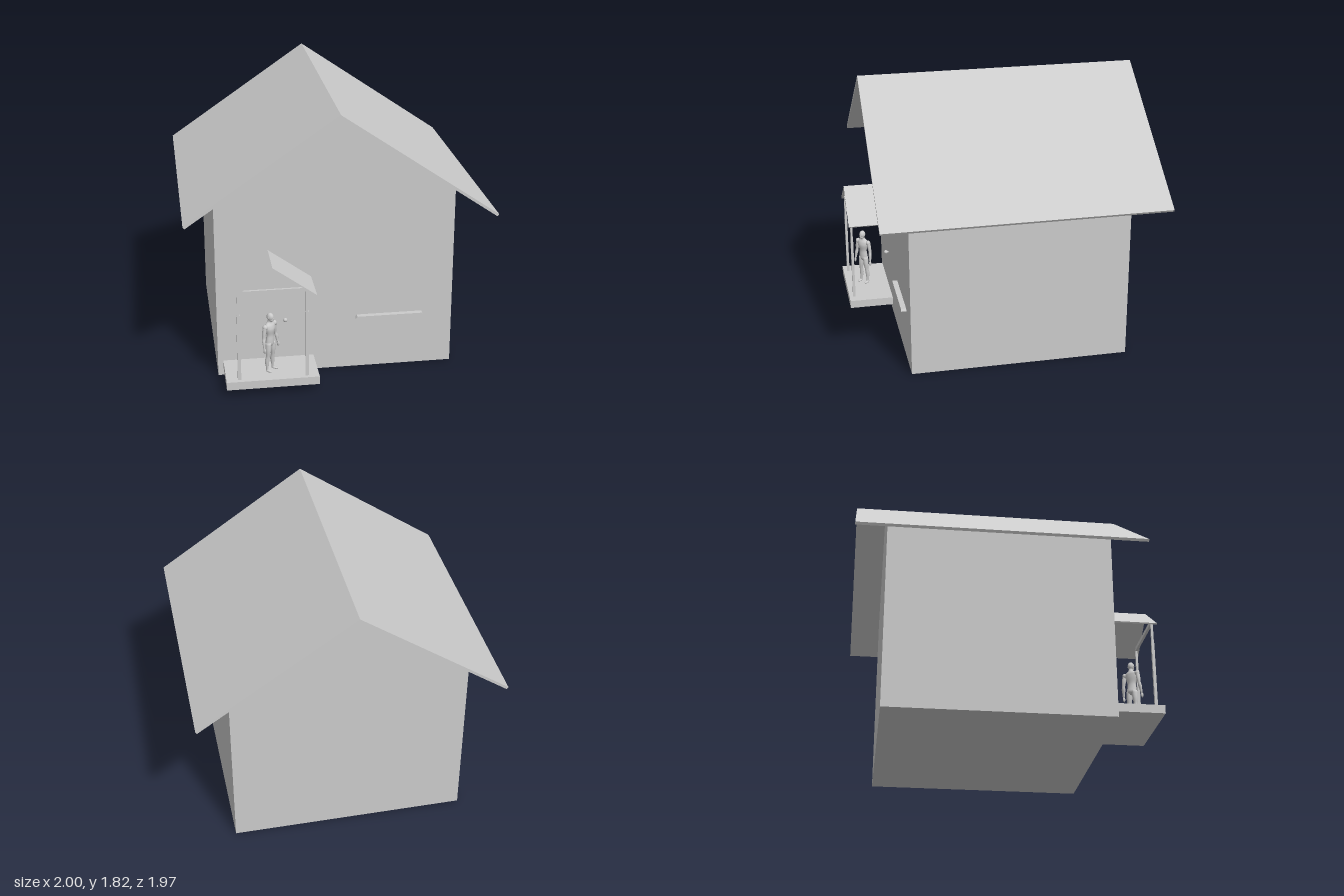
import * as THREE from 'three';

const grey = new THREE.MeshStandardMaterial({ color: 0xcccccc });

function add(parent, name, geometry, x = 0, y = 0, z = 0) {
  const mesh = new THREE.Mesh(geometry, grey);
  mesh.name = name;
  mesh.position.set(x, y, z);
  parent.add(mesh);
  return mesh;
}

// Outline in x/y, extruded from z0 to z1
function prism(points, z0, z1) {
  const shape = new THREE.Shape(points.map(([x, y]) => new THREE.Vector2(x, y)));
  return new THREE.ExtrudeGeometry(shape, { depth: z1 - z0, bevelEnabled: false }).translate(0, 0, z0);
}

// Thin gabled roof: ridge, left eave and right eave on the upper surface
function roof(ridge, left, right, t, z0, z1) {
  const inset = t * 0.55;
  return prism([
    left, [left[0] + inset, left[1] - t * 0.83], [ridge[0], ridge[1] - t * 1.2],
    [right[0] - inset, right[1] - t * 0.83], right, ridge,
  ], z0, z1);
}

// Smooth limb lofted through elliptical rings [x, y, z, rx, rz], listed bottom to top
function loft(rings, sides = 14, steps = 16) {
  const centre = new THREE.CatmullRomCurve3(rings.map(r => new THREE.Vector3(r[0], r[1], r[2])));
  const radii = new THREE.CatmullRomCurve3(rings.map(r => new THREE.Vector3(r[3], r[4], 0)));
  const pos = [], index = [];
  for (let i = 0; i <= steps; i++) {
    const c = centre.getPoint(i / steps), r = radii.getPoint(i / steps);
    for (let j = 0; j < sides; j++) {
      const a = j / sides * Math.PI * 2;
      pos.push(c.x + Math.cos(a) * r.x, c.y, c.z + Math.sin(a) * r.y);
      if (i < steps) {
        const p = i * sides + j, q = i * sides + (j + 1) % sides;
        index.push(p, p + sides, q, q, p + sides, q + sides);
      }
    }
  }
  // End caps
  for (const [row, c] of [[0, rings[0]], [steps, rings[rings.length - 1]]]) {
    const k = pos.length / 3;
    pos.push(c[0], c[1], c[2]);
    for (let j = 0; j < sides; j++) {
      const p = row * sides + j, q = row * sides + (j + 1) % sides;
      if (row) index.push(k, q, p); else index.push(k, p, q);
    }
  }
  const g = new THREE.BufferGeometry();
  g.setAttribute('position', new THREE.Float32BufferAttribute(pos, 3));
  g.setIndex(index);
  g.computeVertexNormals();
  return g;
}

const ellipsoid = (rx, ry, rz) => new THREE.SphereGeometry(1, 16, 12).scale(rx, ry, rz);

function createFigure() {
  const figure = new THREE.Group();
  figure.name = 'figure';
  add(figure, 'torso', loft([
    [0, 0.178, 0, 0.012, 0.014], [0, 0.2, -0.002, 0.034, 0.024], [0, 0.225, 0, 0.032, 0.022],
    [0, 0.255, 0.001, 0.029, 0.02], [0, 0.3, 0.002, 0.041, 0.026], [0, 0.325, -0.001, 0.043, 0.023],
    [0, 0.34, -0.003, 0.026, 0.016], [0, 0.348, -0.002, 0.014, 0.014], [0, 0.367, 0.002, 0.012, 0.013],
  ], 18, 28));
  add(figure, 'head', ellipsoid(0.02, 0.028, 0.025), 0, 0.382, 0.004);
  add(figure, 'jaw', ellipsoid(0.014, 0.016, 0.016), 0, 0.366, 0.012);
  add(figure, 'nose', ellipsoid(0.003, 0.006, 0.005), 0, 0.376, 0.029);

  for (const s of [-1, 1]) {
    const side = s > 0 ? 'left' : 'right';
    add(figure, side + 'Ear', ellipsoid(0.003, 0.007, 0.005), s * 0.02, 0.379, 0.002);
    add(figure, side + 'Leg', loft([
      [s * 0.028, 0.006, -0.004, 0.008, 0.01], [s * 0.028, 0.025, -0.004, 0.008, 0.009],
      [s * 0.027, 0.075, -0.006, 0.014, 0.015], [s * 0.025, 0.105, 0, 0.012, 0.013],
      [s * 0.022, 0.155, 0.001, 0.018, 0.02], [s * 0.018, 0.205, 0, 0.018, 0.021],
    ]));
    add(figure, side + 'Foot', ellipsoid(0.011, 0.008, 0.025), s * 0.03, 0.008, 0.01);
    add(figure, side + 'Shoulder', ellipsoid(0.016, 0.018, 0.017), s * 0.047, 0.322, -0.001);
    add(figure, side + 'Arm', loft([
      [s * 0.068, 0.18, 0.008, 0.007, 0.007], [s * 0.066, 0.2, 0.005, 0.008, 0.008],
      [s * 0.063, 0.23, 0, 0.012, 0.012], [s * 0.06, 0.25, -0.003, 0.01, 0.011],
      [s * 0.055, 0.285, -0.003, 0.013, 0.014], [s * 0.05, 0.325, -0.001, 0.012, 0.014],
    ]));
    add(figure, side + 'Hand', ellipsoid(0.007, 0.018, 0.011), s * 0.069, 0.168, 0.011);
  }
  return figure;
}

function createPorch() {
  const porch = new THREE.Group();
  porch.name = 'porch';
  add(porch, 'deck', new THREE.BoxGeometry(0.6, 0.055, 0.305), -0.465, 0.0775, 0.8325);

  // Posts with a thicker lower shaft
  for (const x of [-0.68, -0.243]) {
    add(porch, 'postShaft', new THREE.BoxGeometry(0.022, 0.455, 0.018), x, 0.3325, 0.95);
    add(porch, 'postTop', new THREE.BoxGeometry(0.015, 0.14, 0.015), x, 0.63, 0.95);
  }
  // Tie beam, its ends cut to the roof slope
  add(porch, 'tieBeam', prism(
    [[-0.703, 0.7], [-0.222, 0.7], [-0.255, 0.724], [-0.668, 0.724]], 0.942, 0.958));
  add(porch, 'porchRoof', roof([-0.46, 0.878], [-0.735, 0.682], [-0.18, 0.676], 0.009, 0.68, 0.972));
  return porch;
}

export function createModel() {
  const house = new THREE.Group();
  house.name = 'house';

  // Gabled walls and overhanging roof
  add(house, 'walls', prism(
    [[-0.8, 0], [0.765, 0], [0.765, 1.262], [-0.02, 1.8], [-0.8, 1.267]], -0.78, 0.68));
  add(house, 'roof', roof([-0.02, 1.82], [-1, 1.147], [1, 1.122], 0.018, -0.985, 0.885));

  house.add(createPorch());

  // Window sill with bevelled ends
  add(house, 'windowSill', prism(
    [[0.113, 0.364], [0.57, 0.364], [0.56, 0.379], [0.125, 0.379]], 0.68, 0.715));

  // Door knob on a short stem
  add(house, 'doorKnob', new THREE.SphereGeometry(0.014, 16, 12), -0.353, 0.382, 0.698);
  add(house, 'knobStem', new THREE.CylinderGeometry(0.007, 0.007, 0.02, 12).rotateX(Math.PI / 2), -0.353, 0.382, 0.686);

  // Person standing on the deck, turned toward the front left corner
  const figure = createFigure();
  figure.position.set(-0.47, 0.105, 0.85);
  figure.rotation.y = Math.PI / 4;
  house.add(figure);
  return house;
}
